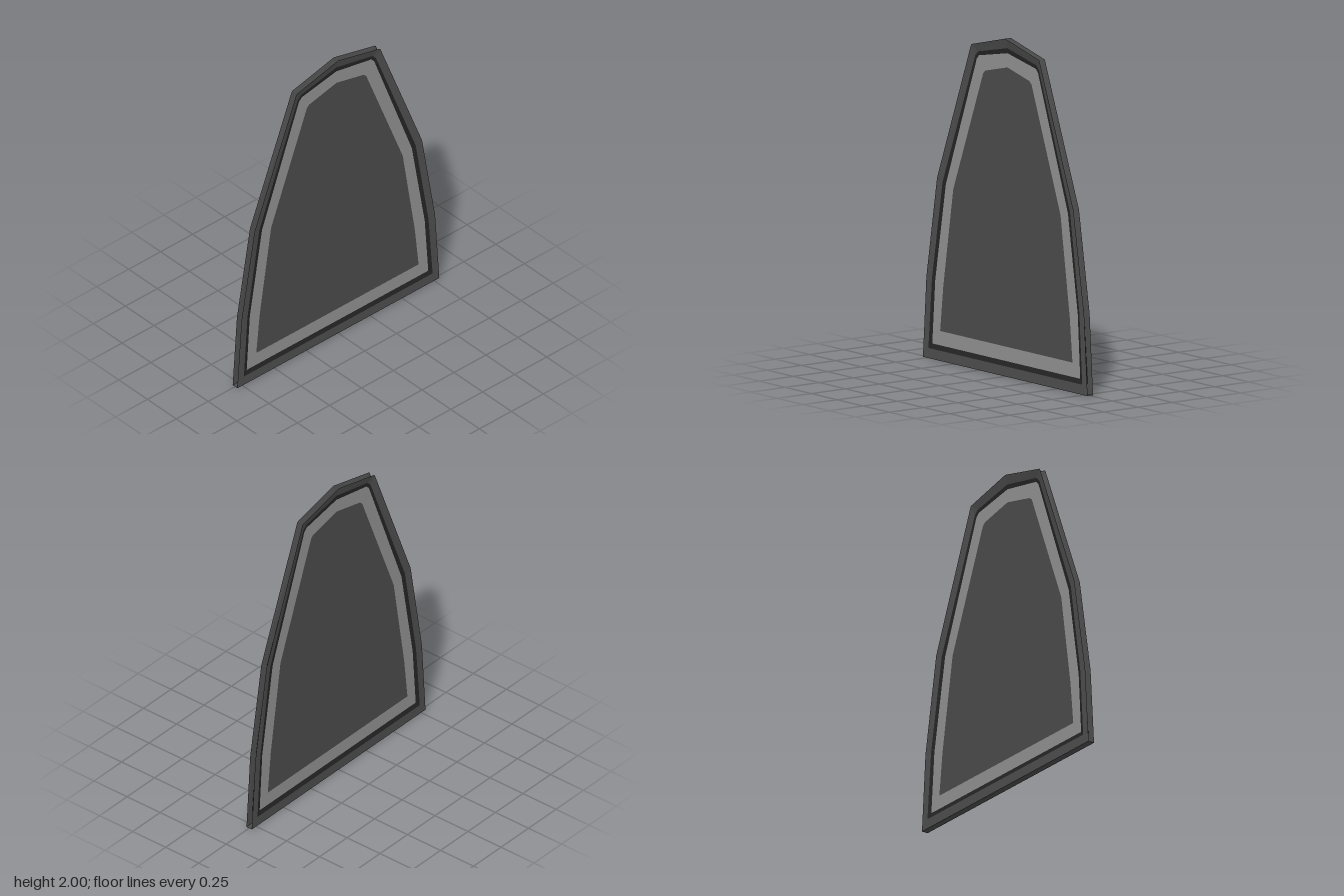
import * as THREE from 'three';

const mat = (name, color) => new THREE.MeshStandardMaterial({ name, color, side: THREE.DoubleSide });

// closed outline from the right half (bottom corner up to the peak), counter-clockwise
const outline = (half) => [
  ...half,
  ...half.slice(0, -1).reverse().map(([x, y]) => [-x, y]),
];

const OUTER = outline([[0.79, 0], [0.757, 0.48], [0.655, 1.08], [0.329, 1.915], [0.322, 1.921], [0, 2]]);
const SEAL = outline([[0.738, 0.06], [0.708, 0.475], [0.612, 1.06], [0.306, 1.855], [0.28, 1.882], [0, 1.942]]);
const TRIM = outline([[0.71, 0.09], [0.684, 0.47], [0.586, 1.05], [0.294, 1.837], [0.272, 1.86], [0, 1.912]]);
const GLASS = outline([[0.635, 0.175], [0.607, 0.44], [0.515, 1.03], [0.232, 1.76], [0.212, 1.778], [0, 1.828]]);

const RIM = 0.02;                                  // half thickness at the outer edge
const taper = (y) => RIM - 0.0075 * (y - 0.06);    // half thickness of the inner rings, thinner upwards

const ring = (points, depth) => points.map(([x, y]) => new THREE.Vector3(x, y, depth(y)));

function mesh(name, triangles, material) {
  const geometry = new THREE.BufferGeometry().setFromPoints(triangles);
  geometry.computeVertexNormals();
  const m = new THREE.Mesh(geometry, material);
  m.name = name;
  return m;
}

// strip of quads joining two outlines
function band(name, a, b, material) {
  const tris = [];
  a.forEach((p, i) => {
    const j = (i + 1) % a.length;
    tris.push(p, a[j], b[j], p, b[j], b[i]);
  });
  return mesh(name, tris, material);
}

// flat fill of an outline
function pane(name, a, material) {
  const c = new THREE.Vector3(0, 0.9, 0);
  c.z = a[0].z + (a[5].z - a[0].z) * (c.y - a[0].y) / (a[5].y - a[0].y);
  const tris = [];
  a.forEach((p, i) => tris.push(c, p, a[(i + 1) % a.length]));
  return mesh(name, tris, material);
}

export function createModel() {
  const group = new THREE.Group();
  group.name = 'windowPanel';
  const frameMat = mat('frame grey', 0x4e4e4e);
  const sealMat = mat('seal black', 0x242424);
  const trimMat = mat('trim grey', 0x929292);
  const glassMat = mat('glass grey', 0x4c4c4c);

  // one face: frame, seal, trim and glass
  const face = (name) => {
    const side = new THREE.Group();
    side.name = name;
    const outer = ring(OUTER, () => RIM);
    const seal = ring(SEAL, taper);
    const trim = ring(TRIM, (y) => taper(y) * 0.65);
    const glass = ring(GLASS, (y) => taper(y) * 0.65);
    side.add(
      band('frame', outer, seal, frameMat),
      band('seal', seal, trim, sealMat),
      band('trim', trim, glass, trimMat),
      pane('glass', glass, glassMat),
    );
    return side;
  };
  const back = face('backFace');
  back.rotation.y = Math.PI;
  group.add(face('frontFace'), back);

  // dark core wall between both faces, inside the open rim
  group.add(band('sealCore', ring(SEAL, (y) => -taper(y)), ring(SEAL, taper), sealMat));

  // closing strip under the frame
  const sill = new THREE.Mesh(new THREE.PlaneGeometry(1.58, RIM * 2).rotateX(Math.PI / 2), frameMat);
  sill.name = 'sill';
  group.add(sill);
  return group;
}
